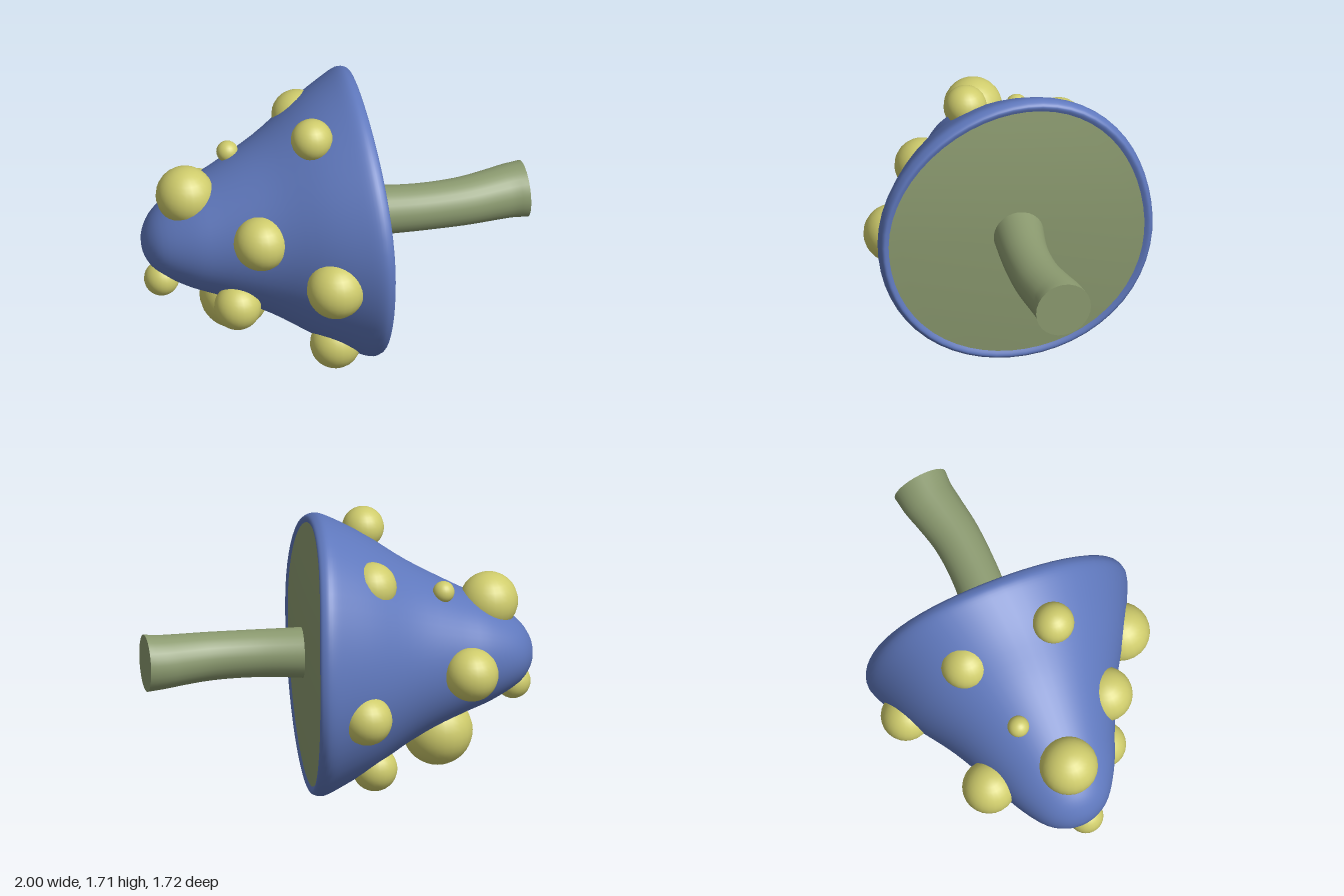
import * as THREE from 'three';
import { mergeVertices } from 'three/addons/utils/BufferGeometryUtils.js';

const mat = (name, color) => {
  const m = new THREE.MeshStandardMaterial({ color });
  m.name = name;
  return m;
};

// Drop seams so that normals run smoothly all round
function smooth(g) {
  g.deleteAttribute('normal');
  g.deleteAttribute('uv');
  const merged = mergeVertices(g, 1e-4);
  merged.computeVertexNormals();
  return merged;
}

// Lathe whose axis runs along z, bent into the uneven, slightly drooping cap
function capSurface(profile) {
  const g = new THREE.LatheGeometry(profile, 56).rotateX(Math.PI / 2);
  const p = g.attributes.position;
  for (let i = 0; i < p.count; i++) {
    const x = p.getX(i), y = p.getY(i), z = p.getZ(i);
    const r = Math.hypot(x, y) || 1e-6;
    const fade = THREE.MathUtils.clamp(1 - z, 0, 1);
    const v2 = fade * (y / 0.83) ** 2;
    const lobe = 1 + 0.04 * fade * Math.max(0, -(x + y) / r / Math.SQRT2) ** 4;
    const lean = y > 0 ? -0.09 : 0.03;
    const bend = y > 0 ? 0.05 : 0.015;
    const height = 1.025 - 0.07 * z * z;
    p.setXYZ(i, x * lobe + lean * v2 + 0.01 * fade, y * lobe * height - 0.03 * z * z, z + bend * v2);
  }
  return smooth(g);
}

// Round tube along a curve with a radius that varies
function stemSurface(curve, radiusAt, rings = 24, sides = 28) {
  const g = new THREE.TubeGeometry(curve, rings, 1, sides, false);
  const p = g.attributes.position, v = new THREE.Vector3();
  for (let i = 0; i <= rings; i++) {
    const c = curve.getPointAt(i / rings);
    for (let j = 0; j <= sides; j++) {
      const k = i * (sides + 1) + j;
      v.fromBufferAttribute(p, k).sub(c).multiplyScalar(radiusAt(i / rings)).add(c);
      p.setXYZ(k, v.x, v.y, v.z);
    }
  }
  return smooth(g);
}

export function createModel() {
  const blue = mat('capBlue', 0x5f78bd);
  const green = mat('stemGreen', 0x8c9b70);
  const yellow = mat('spotYellow', 0xcfcc6c);
  const model = new THREE.Group();
  const add = (name, geometry, material, parent = model) => {
    const m = new THREE.Mesh(geometry, material);
    m.name = name;
    parent.add(m);
    return m;
  };

  // Cap, tipped over on its side
  const cap = new THREE.Group();
  cap.name = 'capGroup';
  cap.position.set(0.165, 0.85, -0.08);
  cap.rotation.y = -0.905;
  model.add(cap);
  const outer = new THREE.SplineCurve([
    [0.775, 0], [0.805, -0.012], [0.825, 0.01], [0.83, 0.06], [0.79, 0.16], [0.69, 0.36],
    [0.535, 0.62], [0.405, 0.9], [0.32, 1.1], [0.21, 1.27], [0.1, 1.345], [0, 1.365],
  ].map(([r, t]) => new THREE.Vector2(r, t))).getPoints(44);
  outer[outer.length - 1].x = 0;
  add('cap', capSurface(outer), blue, cap);

  // Gently domed underside
  const under = [];
  for (let i = 0; i <= 10; i++) {
    const s = i / 10;
    under.push(new THREE.Vector2(0.775 * s, -0.02 * (1 - s * s)));
  }
  add('underside', capSurface(under), green, cap);

  // Curved stem with a flared, flat end
  const path = new THREE.CatmullRomCurve3([
    [0.06, -0.02], [0.18, -0.095], [0.41, -0.25], [0.62, -0.43], [0.75, -0.58], [0.82, -0.665], [0.885, -0.725],
  ].map(([x, z]) => new THREE.Vector3(x, 0.85, z)));
  const radius = (s) => 0.142 + 0.024 * Math.abs(2 * s - 0.9) ** 2;
  add('stem', stemSurface(path, radius), green);
  const end = add('stemEnd', new THREE.CircleGeometry(radius(1), 28), green);
  end.position.copy(path.getPointAt(1));
  end.lookAt(end.position.clone().add(path.getTangentAt(1)));

  // Round spots: x, y, z, radius
  const spots = [
    [-0.69, 1.115, 0.62, 0.175], [-0.145, 0.97, 0.695, 0.165], [0.335, 0.76, 0.66, 0.175],
    [0.19, 0.19, 0.38, 0.152], [-0.29, 0.5, 0.72, 0.14], [-0.78, 0.58, 0.75, 0.105],
    [-0.49, 0.34, 0.36, 0.21], [-0.3, 0.19, -0.05, 0.135], [-0.32, 1.37, -0.12, 0.15],
    [-0.58, 1.26, 0.28, 0.065], [0.01, 1.54, 0.335, 0.125], [-0.48, 0.66, -0.44, 0.15],
    [-0.84, 0.82, 0.17, 0.16],
  ];
  spots.forEach(([x, y, z, r], i) => {
    add('spot' + (i + 1), new THREE.SphereGeometry(r, 24, 16), yellow).position.set(x, y, z);
  });
  return model;
}
